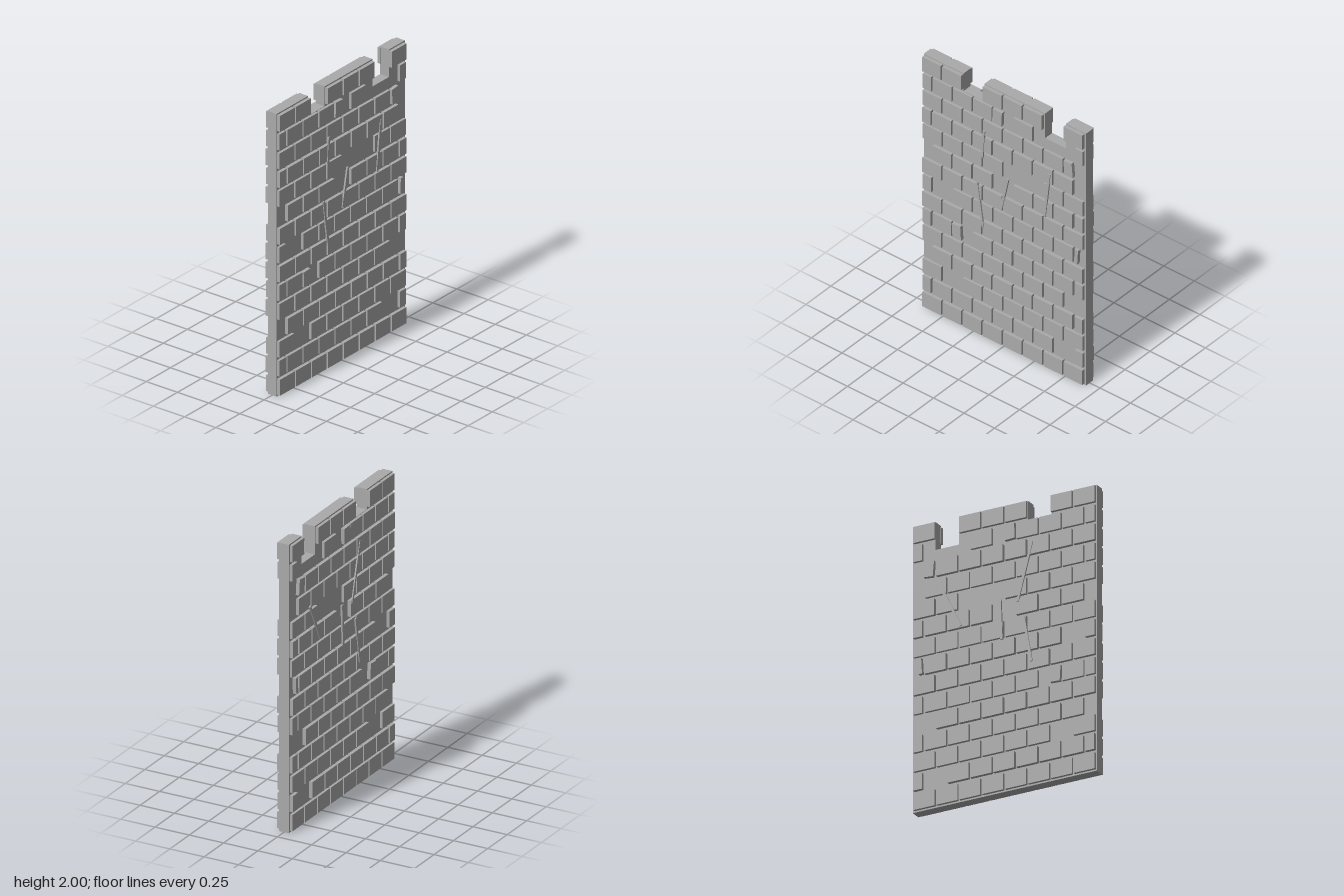
import * as THREE from 'three';

const stone = new THREE.MeshStandardMaterial({ color: 0xaaaaaa });
stone.name = 'grey stone';

const ROWS = 15, ROW_H = 2 / ROWS, PITCH = 0.1655, BRICK_W = 0.153, BRICK_H = 0.113;
const CORE = 0.035, FACE = 0.056;

// Missing bricks per row (columns counted from -x; odd rows start and end with half bricks)
const missing = {
  1: [7], 2: [1], 3: [0], 4: [7], 5: [2], 7: [1, 8], 9: [0, 4],
  10: [4, 5], 11: [8], 12: [7], 13: [4, 6, 7], 14: [2, 6],
};

// Broken remnants: x, y, width, height, tilt
const remnants = [
  [-0.378, 0.735, 0.07, 0.108, 0.06],
  [0.602, 1.005, 0.027, 0.11, -0.06],
  [0.537, 1.67, 0.068, 0.108, 0.09],
  [-0.045, 1.803, 0.075, 0.108, -0.05],
];

// Cracks: start and end points on each face
const cracks = {
  front: [
    [-0.152, 1.645, -0.167, 1.43],
    [0.385, 1.56, 0.345, 1.205],
    [0.043, 1.355, -0.012, 1.09],
    [-0.21, 1.21, -0.16, 0.88],
  ],
  back: [
    [0.435, 1.49, 0.305, 1.22],
    [-0.21, 1.7, -0.105, 1.3],
    [0.022, 1.34, 0.01, 1.06],
    [-0.15, 1.18, -0.205, 0.86],
  ],
};

function box(name, w, h, x, y, z0, z1, tilt = 0) {
  const mesh = new THREE.Mesh(new THREE.BoxGeometry(w, h, Math.abs(z1 - z0)), stone);
  mesh.name = name;
  mesh.position.set(x, y, (z0 + z1) / 2);
  mesh.rotation.z = tilt;
  return mesh;
}

// Wall slab with two notches broken out of the top
function wallCore() {
  const outline = [
    [-0.665, 0], [0.665, 0], [0.665, 2], [0.5, 2], [0.5, 1.805], [0.33, 1.805],
    [0.33, 2], [-0.167, 2], [-0.167, 1.86], [-0.338, 1.86], [-0.338, 2], [-0.665, 2],
  ];
  const shape = new THREE.Shape(outline.map(([x, y]) => new THREE.Vector2(x, y)));
  const geo = new THREE.ExtrudeGeometry(shape, { depth: 2 * CORE, bevelEnabled: false });
  geo.translate(0, 0, -CORE);
  const mesh = new THREE.Mesh(geo, stone);
  mesh.name = 'wallCore';
  return mesh;
}

// Running-bond bricks, remnants and cracks on one face; side is +1 front, -1 back
function wallFace(side) {
  const label = side > 0 ? 'front' : 'back';
  const group = new THREE.Group();
  group.name = label + 'Face';
  const inner = side * (CORE - 0.005);

  for (let r = 0; r < ROWS; r++) {
    const odd = r % 2 === 1;
    const count = odd ? 9 : 8;
    // slight depth change from row to row
    const outer = side * (FACE + 0.003 * Math.sin(r * 2.3 + side));
    for (let c = 0; c < count; c++) {
      if (missing[r]?.includes(c)) continue;
      let x = -0.583 + c * PITCH, w = BRICK_W;
      if (odd) {
        x -= PITCH / 2;
        if (c === 0) { x = -0.625; w = 0.068; }
        if (c === 8) { x = 0.62; w = 0.065; }
      }
      group.add(box(label + 'Brick', w, BRICK_H, x, (r + 0.5) * ROW_H + 0.001, inner, outer));
    }
  }

  for (const [x, y, w, h, tilt] of remnants) {
    group.add(box(label + 'BrokenBrick', w, h, x, y, inner, side * 0.06, tilt));
  }

  for (const [x0, y0, x1, y1] of cracks[label]) {
    const dx = x0 - x1, dy = y0 - y1;
    group.add(box(label + 'Crack', 0.017, Math.hypot(dx, dy), (x0 + x1) / 2, (y0 + y1) / 2,
      side * 0.052, side * 0.064, -Math.atan2(dx, dy)));
  }
  return group;
}

export function createModel() {
  const model = new THREE.Group();
  model.name = 'ruinedBrickWall';
  model.add(wallCore(), wallFace(1), wallFace(-1));
  return model;
}
